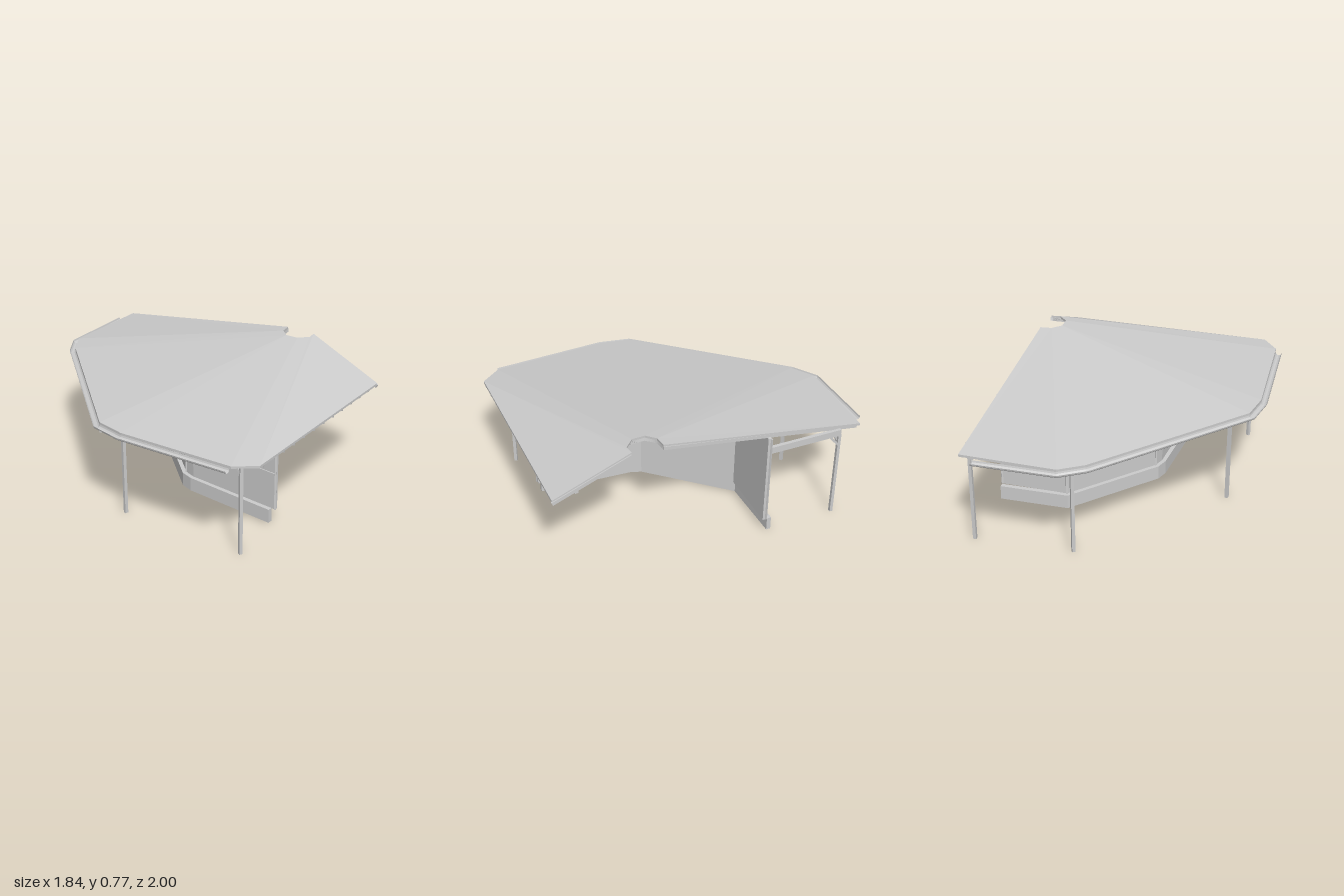
import * as THREE from 'three';

const material = new THREE.MeshStandardMaterial({ color: 0xcccccc, flatShading: true });
const thinMaterial = new THREE.MeshStandardMaterial({ color: 0xcccccc, flatShading: true, side: THREE.DoubleSide });
const V = (x, y, z) => new THREE.Vector3(x, y, z);

// Skin a row of matching cross-sections; closed sections get end caps.
function loft(sections, closed = true) {
  const pos = [];
  const tri = (a, b, c) => {
    const area = b.clone().sub(a).cross(c.clone().sub(a)).length();
    if (area > 1e-8) for (const p of [a, b, c]) pos.push(p.x, p.y, p.z);
  };
  const n = sections[0].length;
  for (let i = 0; i < sections.length - 1; i++) {
    const s = sections[i], t = sections[i + 1];
    for (let j = 0; j < (closed ? n : n - 1); j++) {
      const k = (j + 1) % n;
      tri(s[j], t[j], t[k]);
      tri(s[j], t[k], s[k]);
    }
  }
  if (closed) {
    const a = sections[0], b = sections[sections.length - 1];
    for (let j = 1; j < n - 1; j++) {
      tri(a[0], a[j], a[j + 1]);
      tri(b[0], b[j + 1], b[j]);
    }
  }
  const g = new THREE.BufferGeometry();
  g.setAttribute('position', new THREE.Float32BufferAttribute(pos, 3));
  g.computeVertexNormals();
  return g;
}

// Sweep an (outward, height) profile along a plan path [x, z] with mitred corners.
function sweep(path, profile, closed = true) {
  const normal = (a, b) => new THREE.Vector2(a[1] - b[1], b[0] - a[0]).normalize();
  const sections = path.map((p, i) => {
    const before = normal(path[Math.max(i - 1, 0)], path[Math.max(i, 1)]);
    const last = path.length - 1;
    const after = normal(path[Math.min(i, last - 1)], path[Math.min(i + 1, last)]);
    const m = before.clone().add(after).normalize();
    m.divideScalar(m.dot(after));
    return profile.map(([o, y]) => V(p[0] + m.x * o, y, p[1] + m.y * o));
  });
  return loft(sections, closed);
}

const rect = (o0, o1, y0, y1) => [[o0, y1], [o0, y0], [o1, y0], [o1, y1]];

// Straight timber between two points.
function bar(a, b, w, h) {
  const mesh = new THREE.Mesh(new THREE.BoxGeometry(w, h, a.distanceTo(b)), material);
  mesh.position.copy(a).add(b).multiplyScalar(0.5);
  mesh.lookAt(b);
  return mesh;
}

export function createModel() {
  const model = new THREE.Group();
  const add = (name, obj, parent = model) => {
    const o = obj.isBufferGeometry ? new THREE.Mesh(obj, material) : obj;
    o.name = name;
    parent.add(o);
    return o;
  };

  // Roof: ring opening at the top, faceted eaves below; ring points pair with eave corners
  const ring = [[0.4, -0.4], [0.375, -0.34], [0.395, -0.275], [0.46, -0.24], [0.53, -0.26], [0.55, -0.31]];
  const eaves = [[-0.62, -1], [-0.88, -0.55], [-0.87, -0.4], [-0.54, 0.56], [-0.41, 0.67], [0.19, 0.97], [0.33, 0.95], [0.92, -0.08]];
  const ringOf = [0, 1, 1, 2, 2, 3, 4, 5];
  const top = 0.775, eaveY = 0.585, thick = 0.013;
  const inner = ringOf.map(i => V(ring[i][0], top, ring[i][1]));
  const outer = eaves.map(([x, z]) => V(x, eaveY, z));
  const drop = (p, d) => V(p.x, p.y - d, p.z);
  add('roof', loft(inner.map((p, i) => [p, drop(p, thick), drop(outer[i], thick), outer[i]])));

  // Rafters fanning out beneath the roof
  const rafters = add('rafters', new THREE.Group());
  for (let i = 0; i < outer.length - 1; i++) {
    const count = Math.max(1, Math.round(outer[i].distanceTo(outer[i + 1]) / 0.1));
    for (let j = 0; j < count; j++) {
      const t = (j + 0.1) / count;
      const a = drop(inner[i].clone().lerp(inner[i + 1], t), thick + 0.008);
      const b = drop(outer[i].clone().lerp(outer[i + 1], t), thick + 0.006);
      add('rafter', bar(a, a.clone().lerp(b, 0.985), 0.013, 0.02), rafters);
    }
  }
  const n = outer.length - 1;
  add('rafter', bar(drop(inner[n], 0.021), drop(outer[n], 0.019), 0.013, 0.02), rafters);

  // Half-round gutter along the left and front eaves
  const halfRound = [];
  for (let i = 0; i <= 6; i++) {
    const a = Math.PI * (1 + i / 6);
    halfRound.push([0.016 + 0.019 * Math.cos(a), 0.57 + 0.019 * Math.sin(a)]);
  }
  const gutterPath = [[-0.67, -0.94], ...eaves.slice(1, 5), [0.18, 0.968]];
  add('gutter', new THREE.Mesh(sweep(gutterPath, halfRound, false), thinMaterial));

  // Faceted wall, open on the far side, on a projecting plinth
  const wallPath = [[-0.13, -0.73], [-0.32, -0.4], [-0.135, 0.155], [-0.09, 0.205], [0.39, 0.52]];
  add('wall', sweep(wallPath, rect(-0.02, 0, 0.085, 0.65)));
  const plinthPath = [[-0.14, -0.735], ...wallPath.slice(1, 4), [0.37, 0.51]];
  add('plinth', sweep(plinthPath, rect(-0.003, 0.023, 0.005, 0.086)));
  add('wallRail', sweep(wallPath, rect(-0.002, 0.006, 0.285, 0.305)));
  for (const i of [0, 1, 2, 4]) {
    const [x, z] = wallPath[i];
    add('wallMullion', bar(V(x, 0.086, z), V(x, 0.645, z), 0.01, 0.01));
  }

  // Posts carrying the perimeter beam, with diagonal braces
  const posts = [[-0.51, -0.935], [-0.75, -0.45], [-0.43, 0.49], [0.23, 0.84]];
  const beamEnd = [0.76, -0.11];
  add('perimeterBeam', sweep([...posts, beamEnd], rect(-0.011, 0.011, 0.545, 0.585)));
  add('wallBeam', bar(V(-0.51, 0.565, -0.94), V(-0.14, 0.565, -0.725), 0.02, 0.04));
  const brace = (from, to) => {
    const d = V(to[0] - from[0], 0, to[1] - from[1]).setLength(0.065);
    add('brace', bar(V(from[0], 0.475, from[1]), V(from[0] + d.x, 0.55, from[1] + d.z), 0.013, 0.013));
  };
  posts.forEach(([x, z], i) => {
    const post = add('post', new THREE.BoxGeometry(0.018, 0.55, 0.018));
    post.position.set(x, 0.275, z);
    post.rotation.y = [-0.52, 0.1, 0.75, 0.5][i];
    if (i > 0) brace(posts[i], posts[i - 1]);
    if (i < 3) brace(posts[i], posts[i + 1]);
  });
  brace(posts[0], wallPath[0]);

  return model;
}
